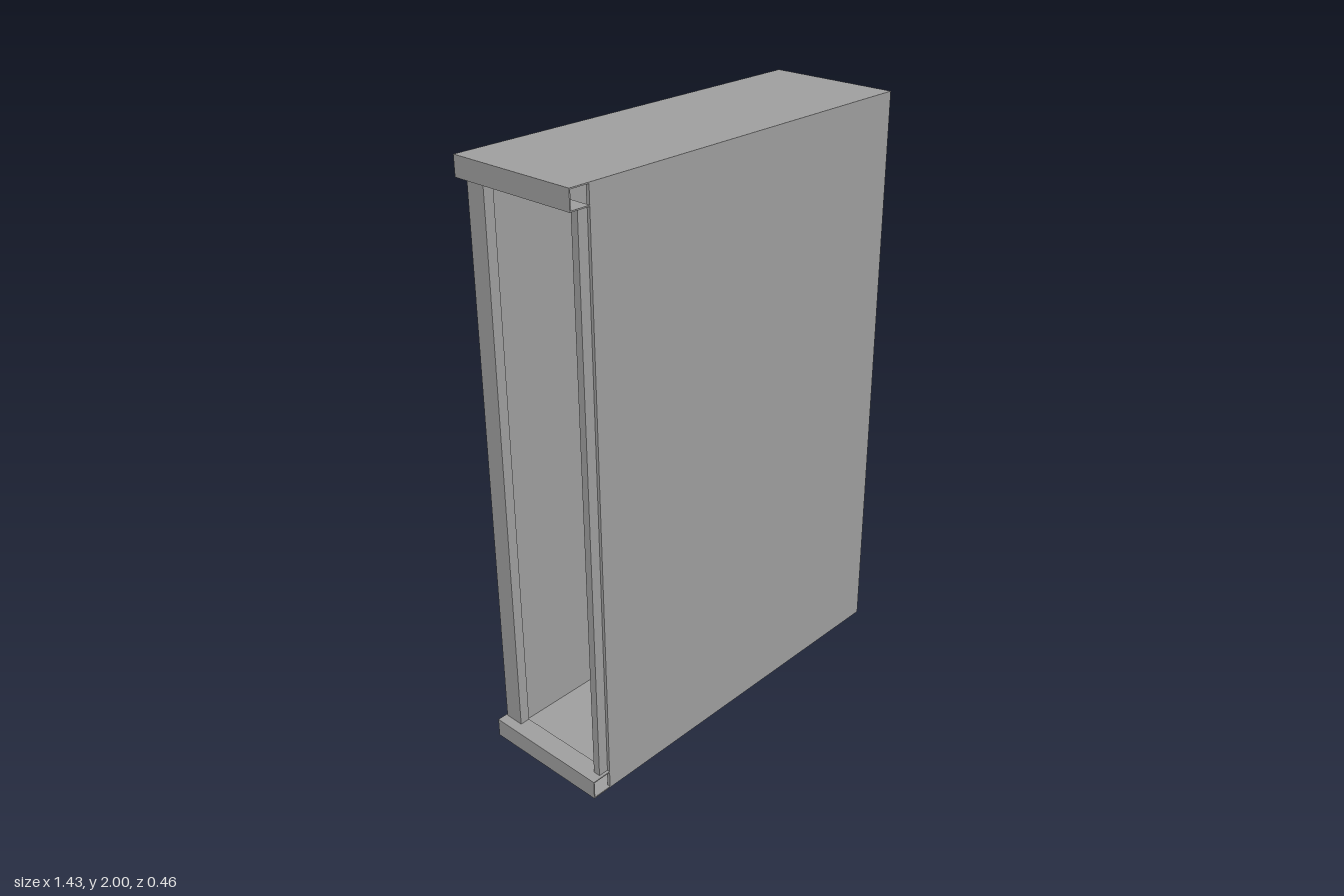
import * as THREE from 'three';

export function createModel() {
  const model = new THREE.Group();
  const grey = new THREE.MeshStandardMaterial({ color: 0x9e9e9e, side: THREE.DoubleSide });
  grey.name = 'grey';

  const add = (name, geometry) => {
    const mesh = new THREE.Mesh(geometry, grey);
    mesh.name = name;
    model.add(mesh);
    return mesh;
  };
  // Box given by its limits on each axis
  const block = (name, x0, x1, y0, y1, z0, z1) => {
    const mesh = add(name, new THREE.BoxGeometry(x1 - x0, y1 - y0, z1 - z0));
    mesh.position.set((x0 + x1) / 2, (y0 + y1) / 2, (z0 + z1) / 2);
  };

  const left = -0.645, end = -0.715, right = 0.685, half = 0.23;
  const sheet = 0.004;

  // Large side panels
  block('frontPanel', left, right, 0, 2, half - 0.012, half);
  block('backPanel', left, right, 0, 2, -half, -half + 0.012);

  // End wall with three window openings
  const windows = [[0.135, 0.54], [0.805, 1.21], [1.465, 1.87]];
  const wall = new THREE.Shape();
  wall.moveTo(-half, 0).lineTo(half, 0).lineTo(half, 2).lineTo(-half, 2).closePath();
  for (const [y0, y1] of windows) {
    const hole = new THREE.Path();
    hole.moveTo(-0.09, y0).lineTo(-0.09, y1).lineTo(0.155, y1).lineTo(0.155, y0).closePath();
    wall.holes.push(hole);
  }
  const wallGeometry = new THREE.ExtrudeGeometry(wall, { depth: 0.05, bevelEnabled: false });
  wallGeometry.rotateY(Math.PI / 2);
  add('windowWall', wallGeometry).position.x = right - 0.05;

  // Rails above and below each window
  for (const [y0, y1] of windows) {
    block('windowSill', right - 0.01, 0.715, y0 - 0.02, y0, -0.2, 0.13);
    block('windowHead', right - 0.01, 0.715, y1, y1 + 0.02, -0.2, 0.13);
  }

  // Roof and floor, each ending in a folded channel over the open end
  for (const top of [false, true]) {
    const level = (name, x0, x1, y0, y1) => {
      const [a, b] = top ? [2 - y1, 2 - y0] : [y0, y1];
      block(name, x0, x1, a, b, -half, half);
    };
    const label = top ? 'roof' : 'floor';
    level(label + 'Plate', end, right, 0, sheet);
    level(label + 'Lip', end, end + sheet, 0, 0.065);
    level(label + 'Return', end, left, 0.065 - sheet, 0.065);
  }

  // Door-frame jambs at the open end
  block('backJambFace', -0.68, -0.676, 0.065, 1.935, -0.22, -0.155);
  block('backJambSide', -0.68, left, 0.065, 1.935, -0.224, -0.22);
  block('backJambInner', -0.68, left, 0.065, 1.935, -0.159, -0.155);
  block('frontJambFace', -0.68, -0.676, 0.065, 1.935, 0.195, 0.22);
  block('frontJambSide', -0.68, left, 0.065, 1.935, 0.216, 0.22);

  return model;
}
